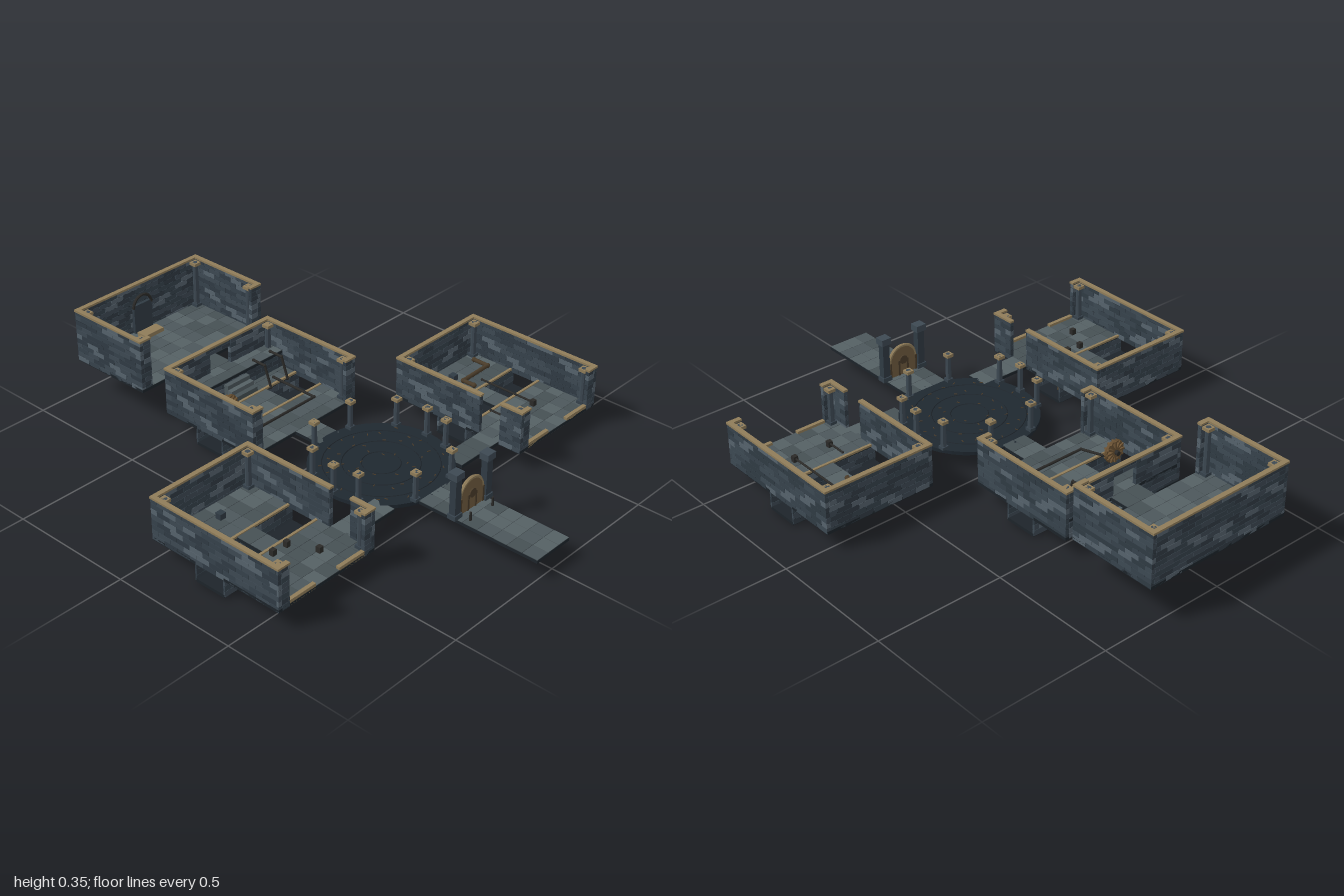
import * as THREE from 'three';
import { mergeGeometries } from 'three/addons/utils/BufferGeometryUtils.js';

const TAN = 0x8f7c59, DARK = 0x1d242a, BRONZE = 0x4a3c2a, IRON = 0x2b2a28;
const BRICK = [0x36424c, 0x303b44, 0x3d4953], LIGHT = 0x55626c;
const TILE = [0x4c575b, 0x556064, 0x465054];
const T = 0.015; // wall thickness

let seed = 7;
const rand = () => (seed = (seed * 16807) % 2147483647) / 2147483647;
const pick = (list) => list[Math.floor(rand() * list.length)];

// Collects geometries by part name and colour, then merges each set to one mesh
function makeSection(name) {
  const bins = new Map();
  const add = (part, color, geo) => {
    const key = part + '|' + color;
    if (!bins.has(key)) bins.set(key, []);
    bins.get(key).push(geo.index ? geo.toNonIndexed() : geo);
  };
  const box = (part, color, x0, x1, y0, y1, z0, z1) => add(part, color,
    new THREE.BoxGeometry(x1 - x0, y1 - y0, z1 - z0).translate((x0 + x1) / 2, (y0 + y1) / 2, (z0 + z1) / 2));
  const finish = (parent) => {
    const group = new THREE.Group();
    group.name = name;
    for (const [key, geos] of bins) {
      const [part, color] = key.split('|');
      const mesh = new THREE.Mesh(mergeGeometries(geos),
        new THREE.MeshStandardMaterial({ color: Number(color), flatShading: part !== 'pipes' }));
      mesh.name = part;
      group.add(mesh);
    }
    parent.add(group);
  };
  return { add, box, finish };
}

// Brick wall in staggered courses, with an optional tan coping
function wall(s, x0, x1, z0, z1, y0, y1, coping = true) {
  const alongX = x1 - x0 > z1 - z0;
  const a0 = alongX ? x0 : z0, a1 = alongX ? x1 : z1;
  const rows = Math.max(1, Math.round((y1 - y0) / 0.02)), h = (y1 - y0) / rows, L = 0.06, g = 0.001;
  s.box('wallCore', DARK, x0 + g, x1 - g, y0, y1, z0 + g, z1 - g);
  for (let r = 0; r < rows; r++) {
    let col = 0;
    for (let a = a0 - (r % 2) * L / 2; a < a1 - 0.002; a += L, col++) {
      const b0 = Math.max(a, a0) + g / 2, b1 = Math.min(a + L, a1) - g / 2;
      if (b1 - b0 < 0.003) continue;
      const stripe = alongX ? (col - r + 30) % 8 === 0 : (col + r) % 8 === 5;
      const color = stripe || rand() < 0.04 ? LIGHT : pick(BRICK);
      const c0 = y0 + r * h + g / 2, c1 = y0 + (r + 1) * h - g / 2;
      if (alongX) s.box('bricks', color, b0, b1, c0, c1, z0, z1);
      else s.box('bricks', color, x0, x1, c0, c1, b0, b1);
    }
  }
  if (coping) s.box('coping', TAN, x0 - 0.002, x1 + 0.002, y1 - 0.004, y1 + 0.004, z0 - 0.002, z1 + 0.002);
}

// Slab topped with slightly varied square tiles
function floor(s, x0, x1, z0, z1, y, depth = 0.014) {
  s.box('floorSlab', DARK, x0, x1, y - depth, y - 0.002, z0, z1);
  const nx = Math.max(1, Math.round((x1 - x0) / 0.06)), nz = Math.max(1, Math.round((z1 - z0) / 0.06));
  const w = (x1 - x0) / nx, d = (z1 - z0) / nz, g = 0.0008;
  for (let i = 0; i < nx; i++) for (let j = 0; j < nz; j++) {
    s.box('tiles', pick(TILE), x0 + i * w + g, x0 + (i + 1) * w - g, y - 0.004, y, z0 + j * d + g, z0 + (j + 1) * d - g);
  }
}

// Pillar with tan base and capital
function pillar(s, x, z, y0, y1, r) {
  s.add('pillarShafts', BRICK[2], new THREE.CylinderGeometry(r * 0.75, r * 0.85, y1 - y0, 8).translate(x, (y0 + y1) / 2, z));
  s.box('pillarBases', BRICK[0], x - r, x + r, y0, y0 + 0.012, z - r, z + r);
  s.box('pillarCapitals', TAN, x - r * 1.1, x + r * 1.1, y1 - 0.012, y1, z - r * 1.1, z + r * 1.1);
}

function pipe(s, color, r, pts) {
  const path = new THREE.CurvePath();
  const v = pts.map((p) => new THREE.Vector3(...p));
  for (let i = 1; i < v.length; i++) {
    path.add(new THREE.LineCurve3(v[i - 1], v[i]));
    s.add('pipes', color, new THREE.TubeGeometry(new THREE.LineCurve3(v[i - 1], v[i]), 1, r, 8));
  }
  for (const p of v) s.add('pipes', color, new THREE.SphereGeometry(r * 1.25, 8, 6).translate(p.x, p.y, p.z));
}

// Open-fronted room: gaps are [from, to] door spans in the walls
function room(s, { x0, x1, z0, z1, y, top, pit, bridge, leftGap, rightGap, backGap }) {
  const b = y - 0.012;
  const split = (lo, hi, gap, make) => (gap ? [[lo, gap[0]], [gap[1], hi]] : [[lo, hi]]).forEach(([p, q]) => make(p, q));
  split(z0, z1, leftGap, (p, q) => wall(s, x0, x0 + T, p, q, b, top));
  split(z0, z1, rightGap, (p, q) => wall(s, x1 - T, x1, p, q, b, top));
  split(x0 + T, x1 - T, backGap, (p, q) => wall(s, p, q, z0, z0 + T, b, top));
  if (backGap) wall(s, backGap[0], backGap[1], z0, z0 + T, top - 0.03, top);
  // front stubs
  wall(s, x0 + T, x0 + 0.05, z1 - T, z1, b, top);
  wall(s, x1 - 0.05, x1 - T, z1 - T, z1, b, top);
  for (const px of [x0 + 0.033, x1 - 0.033]) for (const pz of [z0 + 0.033, z1 - 0.033]) pillar(s, px, pz, y, top - 0.006, 0.014);
  if (!pit) return floor(s, x0, x1, z0, z1, y);
  // floor split by a channel that is open at both ends
  floor(s, x0, x1, z0, pit[0], y);
  floor(s, x0, x1, pit[1], z1, y);
  floor(s, bridge[0], bridge[1], pit[0], pit[1], y);
  s.box('channelBed', DARK, x0, x1, 0, 0.012, pit[0], pit[1]);
  for (const z of pit) {
    wall(s, x0, x1, z - 0.004, z + 0.004, 0.004, y - 0.01, false);
    s.box('channelEdge', TAN, x0 + T, x1 - T, y - 0.004, y + 0.004, z - 0.005, z + 0.005);
  }
}

export function createModel() {
  const model = new THREE.Group();
  model.name = 'ruinedHalls';
  const Y = 0.082;

  // Rear hall with shrine
  let s = makeSection('rearHall');
  room(s, { x0: -0.31, x1: 0.31, z0: -1, z1: -0.64, y: 0.152, top: 0.35 });
  s.box('shrineStep', TAN, -0.05, 0.045, 0.15, 0.168, -0.955, -0.91);
  s.box('shrinePanel', BRICK[1], -0.045, 0.045, 0.15, 0.27, -0.986, -0.972);
  s.add('shrineArch', IRON, new THREE.TorusGeometry(0.045, 0.006, 6, 20, Math.PI).translate(0, 0.26, -0.975));
  floor(s, -0.065, 0.06, -0.64, -0.56, 0.152);
  s.finish(model);

  // Middle hall with raised landing, wheel and pipes
  s = makeSection('wheelHall');
  room(s, { x0: -0.27, x1: 0.265, z0: -0.56, z1: -0.11, y: Y, top: 0.256, pit: [-0.4, -0.27], bridge: [-0.09, 0.085], backGap: [-0.055, 0.05] });
  wall(s, -0.255, 0.25, -0.545, -0.47, Y, 0.138, false);
  floor(s, -0.255, 0.25, -0.56, -0.47, 0.152);
  for (let i = 0; i < 3; i++) s.box('steps', TILE[i], -0.06, 0.055, Y, 0.134 - i * 0.017, -0.47 + i * 0.02, -0.45 + i * 0.02);
  s.add('wheel', 0x6b5233, new THREE.TorusGeometry(0.038, 0.007, 6, 20).translate(-0.16, 0.14, -0.345));
  for (let i = 0; i < 6; i++) {
    s.add('wheel', 0x6b5233, new THREE.BoxGeometry(0.084, 0.007, 0.022).rotateZ(i * Math.PI / 6).translate(-0.16, 0.14, -0.345));
  }
  s.add('wheelAxle', IRON, new THREE.CylinderGeometry(0.009, 0.009, 0.05, 10).rotateX(Math.PI / 2).translate(-0.16, 0.14, -0.345));
  pipe(s, IRON, 0.005, [[-0.16, 0.095, -0.29], [-0.13, 0.095, -0.21], [0.15, 0.095, -0.21], [0.15, 0.095, -0.42]]);
  for (const x of [0.105, 0.195]) pipe(s, IRON, 0.005, [[x, Y, -0.39], [x, 0.165, -0.42], [x, 0.165, -0.48]]);
  floor(s, -0.055, 0.05, -0.11, 0.01, Y);
  s.finish(model);

  // Side halls and their walkways
  for (const side of [-1, 1]) {
    s = makeSection(side < 0 ? 'rightHall' : 'leftHall');
    const x0 = side < 0 ? -0.84 : 0.388, x1 = x0 + 0.45, c = (x0 + x1) / 2, door = [0.38, 0.47];
    room(s, { x0, x1, z0: -0.015, z1: 0.565, y: Y, top: 0.236, pit: [0.19, 0.32], bridge: [c - 0.04, c + 0.04],
      leftGap: side > 0 && door, rightGap: side < 0 && door });
    // low front curb either side of the entrance
    for (const [p, q] of [[x0 + 0.05, c - 0.055], [c + 0.055, x1 - 0.05]]) s.box('curb', TAN, p, q, Y - 0.01, Y + 0.01, 0.55, 0.565);
    s.box('blocks', BRICK[1], c - 0.013, c + 0.013, Y, 0.105, 0.065, 0.09);
    const plates = side < 0 ? [[-0.645, 0.35], [-0.58, 0.35], [-0.7, 0.45], [-0.53, 0.45]] : [[0.52, 0.41], [0.67, 0.41]];
    for (const [x, z] of plates) s.box('blocks', IRON, x - 0.009, x + 0.009, Y, 0.105, z - 0.009, z + 0.009);
    if (side > 0) {
      pipe(s, BRONZE, 0.008, [[0.61, 0.1, 0.18], [0.61, 0.1, 0.128], [0.76, 0.1, 0.125], [0.76, 0.1, 0.06]]);
      pipe(s, IRON, 0.004, [[0.67, 0.095, 0.17], [0.67, 0.095, 0.41]]);
      pipe(s, IRON, 0.004, [[0.52, 0.095, 0.33], [0.52, 0.095, 0.41]]);
    } else {
      for (const x of [-0.78, -0.73, -0.54, -0.47]) pipe(s, BRONZE, 0.003, [[x, 0.016, 0.28], [x + 0.03, 0.016, 0.25]]);
    }
    floor(s, side < 0 ? -0.4 : 0.18, side < 0 ? -0.18 : 0.4, 0.38, 0.47, Y);
    s.finish(model);
  }

  // Round court with ring of pillars and inlaid marks
  s = makeSection('roundCourt');
  s.add('disk', 0x1f2830, new THREE.CylinderGeometry(0.262, 0.262, 0.014, 40).translate(0, 0.075, 0.252));
  for (const r of [0.07, 0.14, 0.21]) {
    s.add('rings', DARK, new THREE.TorusGeometry(r, 0.002, 4, 40).rotateX(Math.PI / 2).translate(0, Y, 0.252));
    const n = Math.round(r * 110);
    for (let i = 0; i < n; i++) {
      const a = (i + rand() * 0.6) / n * Math.PI * 2, q = r + (rand() - 0.5) * 0.05;
      s.add('inlay', BRONZE, new THREE.BoxGeometry(0.012, 0.002, 0.003).rotateY(rand() * 3).translate(q * Math.cos(a), 0.083, 0.252 + q * Math.sin(a)));
    }
  }
  for (const [x, z] of [[0.095, -0.232], [0.222, -0.122], [0.248, 0], [0.232, 0.1], [0.095, 0.237]]) {
    for (const m of [-1, 1]) pillar(s, m * x, 0.252 + z, Y, 0.2, 0.013);
  }
  s.finish(model);

  // Entrance path and arched gate
  s = makeSection('entrance');
  floor(s, -0.088, 0.086, 0.5, 1, Y);
  for (const m of [-1, 1]) {
    const x = m * 0.083;
    s.box('gatePosts', BRICK[1], x - 0.015, x + 0.015, Y, 0.25, 0.638, 0.664);
    s.box('gatePostBases', BRICK[0], x - 0.02, x + 0.02, Y, 0.1, 0.634, 0.668);
    s.box('gatePostCaps', BRICK[2], x - 0.021, x + 0.021, 0.24, 0.266, 0.632, 0.67);
    s.add('bollards', IRON, new THREE.CylinderGeometry(0.004, 0.005, 0.035, 8).translate(m * 0.06, 0.0985, 0.7));
  }
  const arch = new THREE.Shape().moveTo(-0.06, 0).lineTo(0.06, 0).lineTo(0.06, 0.06).absarc(0, 0.06, 0.06, 0, Math.PI, false);
  s.add('gateDoor', 0x6f5c3f, new THREE.ExtrudeGeometry(arch, { depth: 0.012, bevelEnabled: false, curveSegments: 12 }).translate(0, Y, 0.645));
  s.add('gateArch', TAN, new THREE.TorusGeometry(0.06, 0.007, 6, 20, Math.PI).translate(0, 0.142, 0.651));
  for (const x of [-0.06, -0.02, 0.02, 0.06]) s.box('gateBars', BRONZE, x - 0.004, x + 0.004, Y, 0.145, 0.642, 0.66);
  s.add('gateBoss', BRONZE, new THREE.CylinderGeometry(0.018, 0.018, 0.022, 12).rotateX(Math.PI / 2).translate(0, 0.145, 0.651));
  s.finish(model);

  return model;
}
